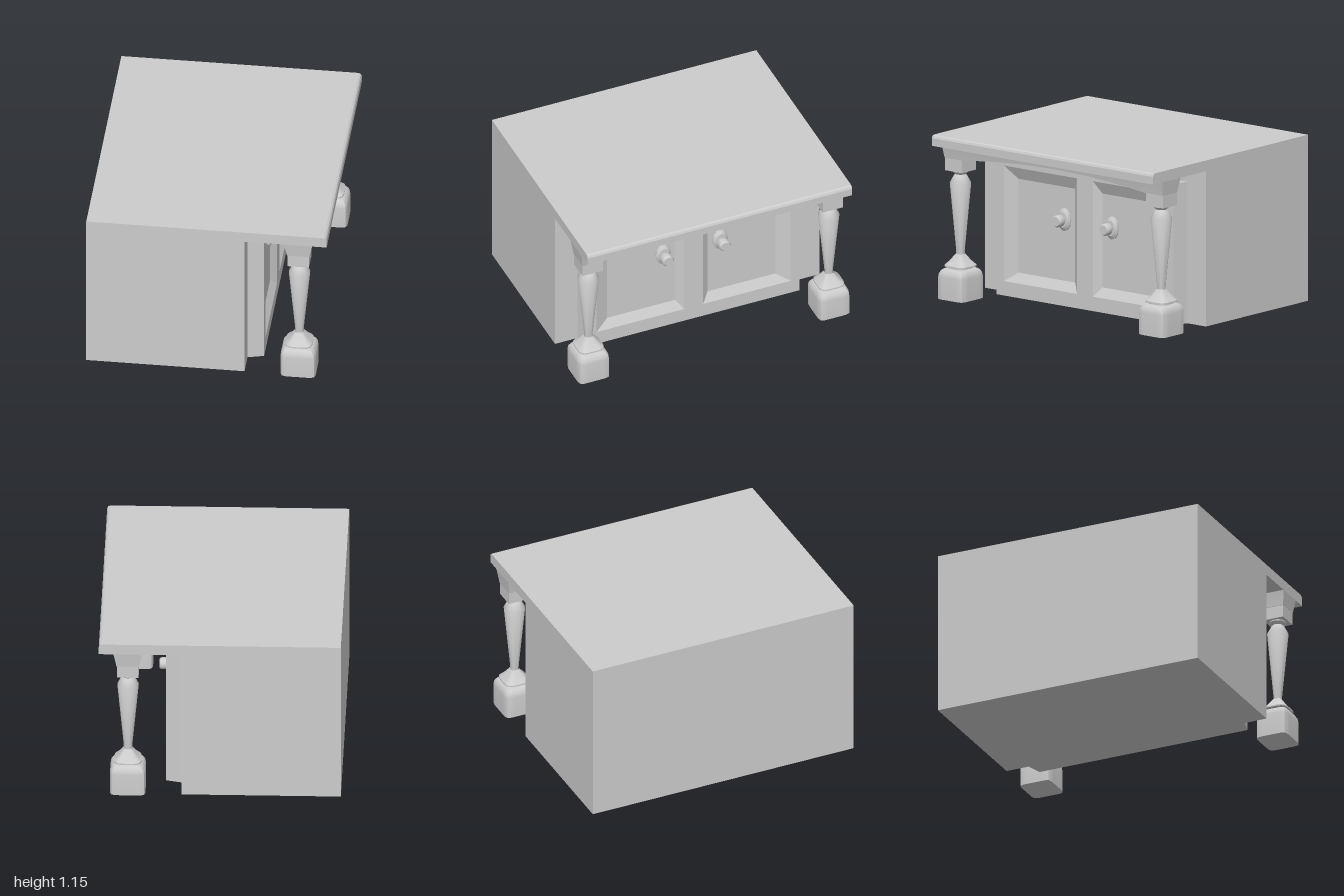
import * as THREE from 'three';
import { toCreasedNormals } from 'three/addons/utils/BufferGeometryUtils.js';

const material = new THREE.MeshStandardMaterial({ color: 0xcccccc });
const openMaterial = new THREE.MeshStandardMaterial({ color: 0xcccccc, side: THREE.DoubleSide });
const LEG_X = 0.624, LEG_Z = 0.886;

function part(name, geometry, mat = material) {
  const mesh = new THREE.Mesh(geometry, mat);
  mesh.name = name;
  return mesh;
}

// Move every vertex by a rule, then shade with sharp creases
function reshape(geometry, rule, crease = 0.6) {
  const pos = geometry.attributes.position;
  const v = new THREE.Vector3();
  for (let i = 0; i < pos.count; i++) {
    rule(v.fromBufferAttribute(pos, i));
    pos.setXYZ(i, v.x, v.y, v.z);
  }
  return toCreasedNormals(geometry, crease);
}

// Cabinet side profile with the overhanging top, run across the full width
function cabinetGeometry() {
  const shape = new THREE.Shape([
    [-0.82, 0], [0.26, 0], [0.26, 1.075], [0.82, 1.075],
    [0.82, 1.128], [0.813, 1.143], [0.8, 1.15], [-0.82, 1.15],
  ].map(([x, y]) => new THREE.Vector2(x, y)));
  const geo = new THREE.ExtrudeGeometry(shape, { depth: 1.95, bevelEnabled: false });
  return geo.translate(0, 0, -0.975);
}

// Door block with two openings, slightly wider where it meets the cabinet
function doorFrameGeometry() {
  const rect = (a, b, c, d) => [[a, c], [b, c], [b, d], [a, d]].map(([x, y]) => new THREE.Vector2(x, y));
  const shape = new THREE.Shape(rect(-0.78, 0.78, 0, 0.98));
  shape.holes.push(new THREE.Path(rect(-0.715, -0.07, 0.1, 0.9)));
  shape.holes.push(new THREE.Path(rect(0.07, 0.715, 0.1, 0.9)));
  const geo = new THREE.ExtrudeGeometry(shape, { depth: 0.11, bevelEnabled: false });
  geo.rotateY(Math.PI / 2).translate(0.26, 0, 0);
  return reshape(geo, (v) => {
    if (v.x < 0.3 && Math.abs(v.z) > 0.77) v.z = Math.sign(v.z) * 0.81;
  }, 0.2);
}

// Sunken panel: sloping border and flat floor
function doorPanelGeometry(side) {
  const ring = (x, zNear, zFar, y0, y1) => {
    const a = side > 0 ? zFar : -zNear, b = side > 0 ? zNear : -zFar;
    return [x, y0, a, x, y0, b, x, y1, b, x, y1, a];
  };
  const geo = new THREE.BufferGeometry();
  geo.setAttribute('position', new THREE.Float32BufferAttribute([
    ...ring(0.37, 0.07, 0.715, 0.1, 0.9),
    ...ring(0.33, 0.12, 0.62, 0.165, 0.815),
  ], 3));
  const index = [4, 5, 6, 4, 6, 7];
  for (let i = 0; i < 4; i++) {
    const j = (i + 1) % 4;
    index.push(i, j, j + 4, i, j + 4, i + 4);
  }
  geo.setIndex(index);
  const flat = geo.toNonIndexed();
  flat.computeVertexNormals();
  return flat;
}

// Turned shape about the x axis, given as [radius, distance] pairs
function turnedAlongX(points, segments) {
  const geo = new THREE.LatheGeometry(points.map(([r, y]) => new THREE.Vector2(r, y)), segments);
  return geo.rotateZ(-Math.PI / 2);
}

function createKnob(side) {
  const knob = new THREE.Group();
  knob.name = 'doorKnob';
  const plate = turnedAlongX([[0.055, 0], [0.055, 0.01], [0.038, 0.025], [0, 0.028]], 12);
  plate.scale(1, 1.45, 1);
  const handle = turnedAlongX(
    [[0.026, 0.01], [0.024, 0.042], [0.036, 0.042], [0.041, 0.05], [0.041, 0.088], [0.033, 0.1], [0, 0.1]], 20);
  knob.add(part('knobPlate', toCreasedNormals(plate, 0.4)), part('knobHandle', toCreasedNormals(handle, 0.6)));
  knob.position.set(0.33, 0.59, side * 0.21);
  return knob;
}

// Half depth of the arched rail, flaring towards the top
const railHalf = (y) => 0.0725 + 0.0245 * Math.pow(Math.max(0, (y - 0.94) / 0.135), 1.3);

function archedRailGeometry() {
  const geo = new THREE.BoxGeometry(1, 1, 1.95, 1, 5, 60);
  return reshape(geo, (v) => {
    const t = v.y + 0.5;
    const arch = Math.min(1, Math.abs(v.z) / 0.8);
    const bottom = 1.03 - 0.055 * arch * arch;
    v.y = bottom + t * (1.075 - bottom);
    v.x = LEG_X + Math.sign(v.x) * railHalf(v.y);
    if (Math.abs(v.z) > 0.97) v.z = Math.sign(v.z) * (0.962 + 0.013 * t);
  });
}

// Turned leg piece: [radius, height] pairs, squareness 2 is round and higher is squarer
function turnedLeg(points, squareness) {
  const geo = new THREE.LatheGeometry(points.map(([r, y]) => new THREE.Vector2(r, y)), 40);
  return reshape(geo, (v) => {
    const r = Math.hypot(v.x, v.z);
    if (r < 1e-6) return;
    const c = Math.abs(v.x / r), s = Math.abs(v.z / r);
    const k = Math.pow(c ** squareness + s ** squareness, -1 / squareness);
    v.x *= k;
    v.z *= k;
  }, 0.65);
}

function createLeg(side) {
  const leg = new THREE.Group();
  leg.name = 'leg';
  leg.add(part('legFoot', turnedLeg(
    [[0, 0], [0.12, 0], [0.12, 0.155], [0.116, 0.18], [0.1, 0.203], [0.085, 0.21], [0, 0.21]], 8)));
  leg.add(part('legCollar', turnedLeg(
    [[0.07, 0.205], [0.07, 0.218], [0.092, 0.222], [0.092, 0.232], [0.06, 0.265], [0.028, 0.31]], 4)));
  leg.add(part('legShaft', turnedLeg(
    [[0.028, 0.29], [0.03, 0.34], [0.073, 0.8], [0.047, 0.85], [0.036, 0.862], [0.055, 0.88], [0.055, 0.89]], 2)));
  const block = new THREE.BoxGeometry(0.147, 0.1, 0.15).translate(0, 0.938, 0);
  leg.add(part('legTopBlock', block));
  leg.position.set(LEG_X, 0, side * LEG_Z);
  // Keep the foot inside the overall width
  leg.children[0].scale.z = 0.95;
  return leg;
}

export function createModel() {
  const model = new THREE.Group();
  model.name = 'cabinetTable';
  model.add(part('cabinetAndTop', cabinetGeometry()));
  model.add(part('doorFrame', doorFrameGeometry()));
  model.add(part('archedRail', archedRailGeometry()));
  for (const side of [1, -1]) {
    model.add(part('doorPanel', doorPanelGeometry(side), openMaterial));
    model.add(createKnob(side));
    model.add(createLeg(side));
  }
  return model;
}
